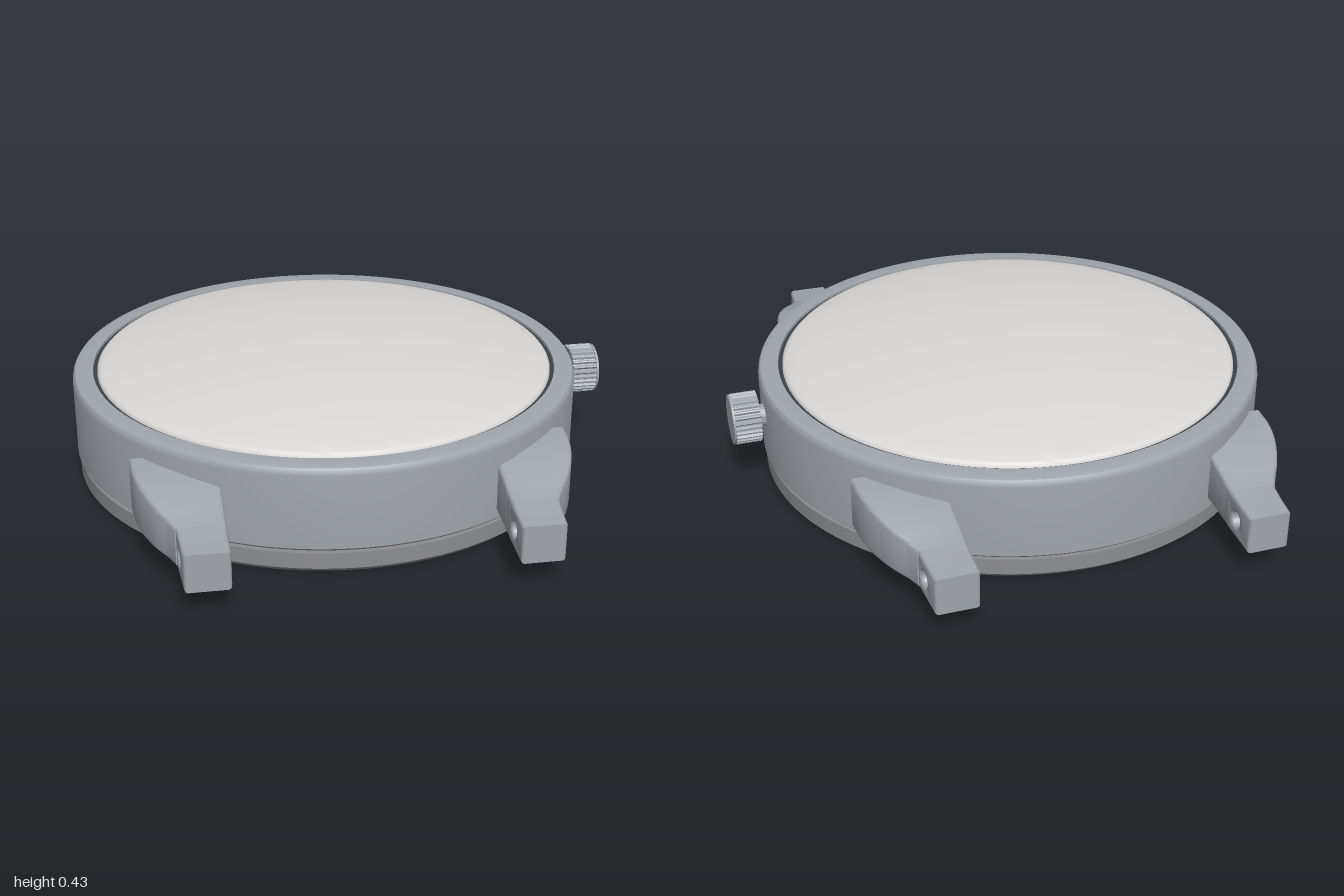
import * as THREE from 'three';
import { toCreasedNormals, mergeGeometries } from 'three/addons/utils/BufferGeometryUtils.js';

const steel = new THREE.MeshStandardMaterial({ name: 'brushed steel', color: 0xa0a5ab });
const backSteel = new THREE.MeshStandardMaterial({ name: 'back steel', color: 0x8c8d8f });
const glass = new THREE.MeshStandardMaterial({ name: 'pale crystal', color: 0xd9d8d6 });
const rubber = new THREE.MeshStandardMaterial({ name: 'dark gasket', color: 0x3a4247 });

const CX = -0.055; // case axis, offset to make room for the crown

function part(name, geometry, material, crease = 0.6) {
  const mesh = new THREE.Mesh(toCreasedNormals(geometry, crease), material);
  mesh.name = name;
  return mesh;
}

// Turned part; the profile runs from bottom to top as [radius, y]
function turned(name, profile, material, crease) {
  const points = profile.map(([r, y]) => new THREE.Vector2(r, y));
  return part(name, new THREE.LatheGeometry(points, 128), material, crease);
}

function circlePath(x, y, r) {
  const path = new THREE.Path();
  path.absarc(x, y, r, 0, Math.PI * 2, true);
  return path;
}

// Mirrors a non-indexed geometry in x and restores the corner order
function mirrorX(geometry) {
  const g = geometry.clone();
  const p = g.attributes.position;
  const a = p.array;
  for (let t = 0; t < a.length; t += 9) {
    for (let k = 0; k < 3; k++) [a[t + 3 + k], a[t + 6 + k]] = [a[t + 6 + k], a[t + 3 + k]];
  }
  for (let i = 0; i < p.count; i++) p.setX(i, -p.getX(i));
  return g;
}

// Swept lug body: rounded rectangles along z
function lugBody() {
  const inner = 0.415, r = 0.013, n = 18;
  // z, outer x, bottom y, top y
  const keys = [
    [0.87, 0.563, 0.094, 0.222], [0.83, 0.583, 0.098, 0.232], [0.78, 0.615, 0.103, 0.247],
    [0.70, 0.65, 0.109, 0.268], [0.62, 0.669, 0.113, 0.281], [0.54, 0.675, 0.115, 0.286],
  ];
  const outer = new THREE.CatmullRomCurve3(keys.map(k => new THREE.Vector3(k[1], k[2], k[0])));
  const upper = new THREE.CatmullRomCurve3(keys.map(k => new THREE.Vector3(k[1], k[3], k[0])));
  const pos = [], index = [], m = 16;
  for (let i = 0; i <= n; i++) {
    const lo = outer.getPoint(i / n), hi = upper.getPoint(i / n);
    const corners = [[lo.x, hi.y, 0], [inner, hi.y, 1], [inner, lo.y, 2], [lo.x, lo.y, 3]];
    for (const [x, y, q] of corners) {
      const cx = x === inner ? x + r : x - r;
      const cy = q < 2 ? y - r : y + r;
      for (let s = 0; s < 4; s++) {
        const a = (q + s / 3) * Math.PI / 2;
        pos.push(cx + r * Math.cos(a), cy + r * Math.sin(a), lo.z);
      }
    }
  }
  for (let i = 0; i < n; i++) {
    for (let j = 0; j < m; j++) {
      const a = i * m + j, b = i * m + (j + 1) % m;
      index.push(a, a + m, b, b, a + m, b + m);
    }
  }
  for (let j = 1; j < m - 1; j++) {
    index.push(0, j, j + 1);
    index.push(n * m, n * m + j + 1, n * m + j);
  }
  const g = new THREE.BufferGeometry();
  g.setAttribute('position', new THREE.Float32BufferAttribute(pos, 3));
  g.setIndex(index);
  return g.toNonIndexed();
}

// Lug end block with the spring-bar hole
function lugTip() {
  const bevel = 0.011, inner = 0.415, out = 0.56;
  const shape = new THREE.Shape();
  shape.moveTo(0.83, 0.105);
  shape.lineTo(0.87, 0.094);
  shape.lineTo(1, 0.085);
  shape.lineTo(1, 0.205);
  shape.lineTo(0.93, 0.211);
  shape.lineTo(0.87, 0.222);
  shape.lineTo(0.83, 0.225);
  shape.closePath();
  shape.holes.push(circlePath(0.91, 0.15, 0.024));
  const g = new THREE.ExtrudeGeometry(shape, {
    depth: out - inner - 2 * bevel, bevelEnabled: true, bevelThickness: bevel,
    bevelSize: bevel, bevelOffset: -bevel, bevelSegments: 3, curveSegments: 20,
  });
  g.rotateY(-Math.PI / 2);
  g.translate(out - bevel, 0, 0);
  // narrow the outer face towards the end
  const p = g.attributes.position;
  for (let i = 0; i < p.count; i++) {
    const t = (p.getX(i) - inner) / (out - inner);
    p.setX(i, p.getX(i) - t * 0.08 * Math.max(0, p.getZ(i) - 0.87));
  }
  g.deleteAttribute('uv');
  g.deleteAttribute('normal');
  return g;
}

function buildCrown() {
  const crown = new THREE.Group();
  crown.name = 'crown';
  crown.position.y = 0.244;
  const rod = (name, r, x0, x1) => {
    const g = new THREE.CylinderGeometry(r, r, x1 - x0, 48);
    g.rotateZ(-Math.PI / 2);
    g.translate((x0 + x1) / 2, 0, 0);
    crown.add(part(name, g, steel));
  };
  rod('crownStem', 0.036, 0.74, 0.81);
  rod('crownCap', 0.082, 0.883, 0.89);
  // knurled grip
  const shape = new THREE.Shape();
  const teeth = 28;
  for (let i = 0; i < teeth * 4; i++) {
    const a = i / (teeth * 4) * Math.PI * 2;
    const r = i % 4 < 2 ? 0.083 : 0.076;
    shape[i ? 'lineTo' : 'moveTo'](r * Math.cos(a), r * Math.sin(a));
  }
  shape.closePath();
  const grip = new THREE.ExtrudeGeometry(shape, { depth: 0.084, bevelEnabled: false });
  grip.rotateY(Math.PI / 2);
  grip.translate(0.8, 0, 0);
  crown.add(part('crownGrip', grip, steel, 0.3));
  return crown;
}

export function createModel() {
  const model = new THREE.Group();
  model.name = 'watchCase';
  const body = new THREE.Group();
  body.name = 'caseAssembly';
  body.position.x = CX;
  model.add(body);

  // middle case with rounded rim
  body.add(turned('middleCase', [
    [0.7, 0.068], [0.7, 0.077], [0.826, 0.077], [0.835, 0.086], [0.835, 0.325], [0.833, 0.337],
    [0.827, 0.346], [0.816, 0.35], [0.768, 0.35], [0.766, 0.335],
  ], steel));
  body.add(turned('gasket', [[0.768, 0.338], [0.768, 0.342], [0, 0.342]], rubber));

  // domed crystal with softened edge
  const dome = [[0.755, 0.335], [0.754, 0.346], [0.748, 0.353], [0.738, 0.357]];
  for (let i = 1; i <= 16; i++) {
    const r = 0.738 * (1 - i / 16);
    dome.push([r, 0.357 + 0.076 * (1 - (r / 0.738) ** 2)]);
  }
  body.add(turned('crystal', dome, glass, 1));

  // back cover: bevelled rim, plate with two wrench holes, and hole floor
  body.add(turned('backCoverRim', [
    [0.812, 0], [0.828, 0.016], [0.828, 0.068], [0.69, 0.068],
  ], backSteel, 0.5));
  const disc = new THREE.Shape();
  disc.absarc(0, 0, 0.812, 0, Math.PI * 2, false);
  for (const s of [-1, 1]) disc.holes.push(circlePath(0, s * 0.465, 0.043));
  const plate = new THREE.ExtrudeGeometry(disc, { depth: 0.04, bevelEnabled: false, curveSegments: 64 });
  plate.rotateX(-Math.PI / 2);
  body.add(part('backCoverPlate', plate, backSteel));
  const floor = new THREE.CylinderGeometry(0.6, 0.6, 0.02, 48);
  floor.translate(0, 0.05, 0);
  body.add(part('wrenchHoleFloor', floor, backSteel));

  // four lugs
  const left = mergeGeometries([lugBody(), lugTip()]);
  const right = mirrorX(left);
  for (const [name, geometry, turn] of [
    ['frontLeftLug', left, 0], ['frontRightLug', right, 0],
    ['backRightLug', left, Math.PI], ['backLeftLug', right, Math.PI],
  ]) {
    const lug = part(name, geometry, steel, 0.65);
    lug.rotation.y = turn;
    body.add(lug);
  }

  model.add(buildCrown());
  return model;
}
